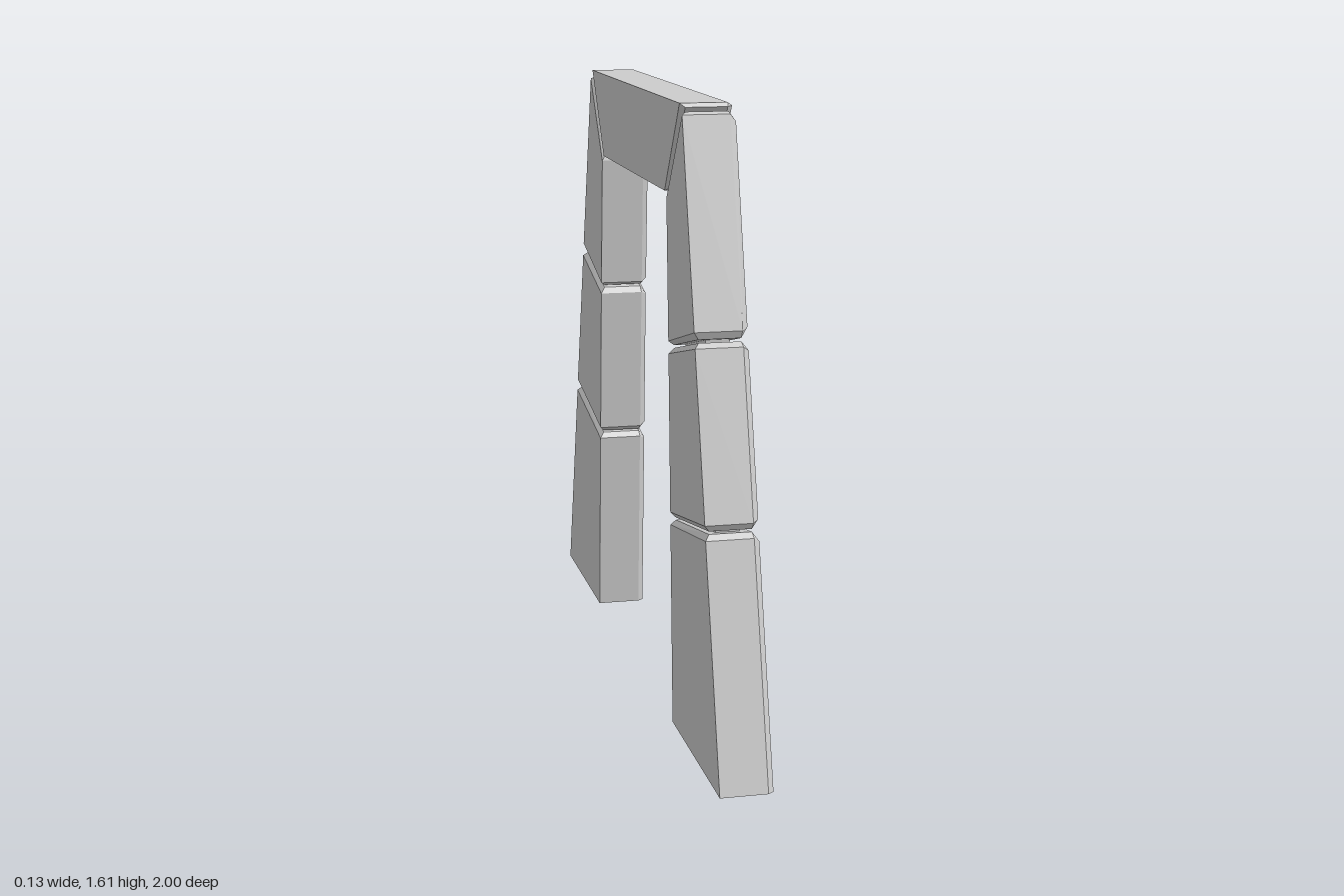
import * as THREE from 'three';
import { ConvexGeometry } from 'three/addons/geometries/ConvexGeometry.js';

const material = new THREE.MeshStandardMaterial({ color: 0xcccccc, flatShading: true });
const BACK = -0.07, EDGE = 0.05, FACE = 0.065, BEVEL = 0.014;

// Convex block from a [z, y] quad: a0-b0 is its start edge, a1-b1 its end edge.
// Bevelled start / end edges become narrowed caps; the +x face has chamfered sides.
function stone(name, [a0, b0, a1, b1], startBevel, endBevel, side = 1) {
  const v = (p) => new THREE.Vector2(p[0] * side, p[1]);
  const [A0, B0, A1, B1] = [a0, b0, a1, b1].map(v);
  const length = (A0.distanceTo(A1) + B0.distanceTo(B1)) / 2;
  const points = [];
  const row = (x, t, inset) => {
    const a = A0.clone().lerp(A1, t), b = B0.clone().lerp(B1, t);
    const s = inset / a.distanceTo(b);
    for (const k of [s, 1 - s]) {
      const p = a.clone().lerp(b, k);
      points.push(new THREE.Vector3(x, p.y, p.x));
    }
  };
  for (const [end, dir, bevelled] of [[0, 1, startBevel], [1, -1, endBevel]]) {
    const step = bevelled ? (dir * BEVEL) / length : 0;
    row(BACK, end + step, 0);
    row(EDGE, end + step, 0);
    row(FACE, end + step * 1.6, 0.011);
    if (bevelled) {
      row(BACK + 0.012, end, 0.012);
      row(EDGE - 0.002, end, 0.012);
    }
  }
  const mesh = new THREE.Mesh(new ConvexGeometry(points), material);
  mesh.name = name;
  return mesh;
}

// Recessed filler bridging the gap between two stones
function joint(name, outer, inner, side) {
  const h = 0.014;
  const quad = [[outer[0], outer[1] - h], [inner[0], inner[1] - h], [outer[0], outer[1] + h], [inner[0], inner[1] + h]];
  const pts = [];
  for (const x of [BACK + 0.035, EDGE - 0.025])
    for (const [z, y] of quad) pts.push(new THREE.Vector3(x, y, z * side));
  const mesh = new THREE.Mesh(new ConvexGeometry(pts), material);
  mesh.name = name;
  return mesh;
}

export function createModel() {
  const arch = new THREE.Group();
  arch.name = 'stoneArch';

  // Two mirrored legs of three stones each
  for (const side of [1, -1]) {
    const leg = new THREE.Group();
    leg.name = side > 0 ? 'frontLeg' : 'backLeg';
    leg.add(
      stone('baseStone', [[1, 0], [0.497, 0], [0.842, 0.604], [0.468, 0.537]], false, true, side),
      stone('middleStone', [[0.841, 0.611], [0.467, 0.543], [0.727, 1.048], [0.443, 0.979]], true, true, side),
      stone('upperStone', [[0.725, 1.056], [0.442, 0.986], [0.583, 1.595], [0.417, 1.368]], true, true, side),
      joint('lowerJoint', [0.8, 0.6], [0.51, 0.547], side),
      joint('upperJoint', [0.69, 1.043], [0.48, 0.991], side),
      joint('mitreJoint', [0.55, 1.555], [0.435, 1.4], side),
    );
    arch.add(leg);
  }

  // Lintel across the top with mitred ends
  arch.add(stone('lintel', [[0.576, 1.605], [0.408, 1.373], [-0.576, 1.605], [-0.408, 1.373]], true, true));
  return arch;
}
